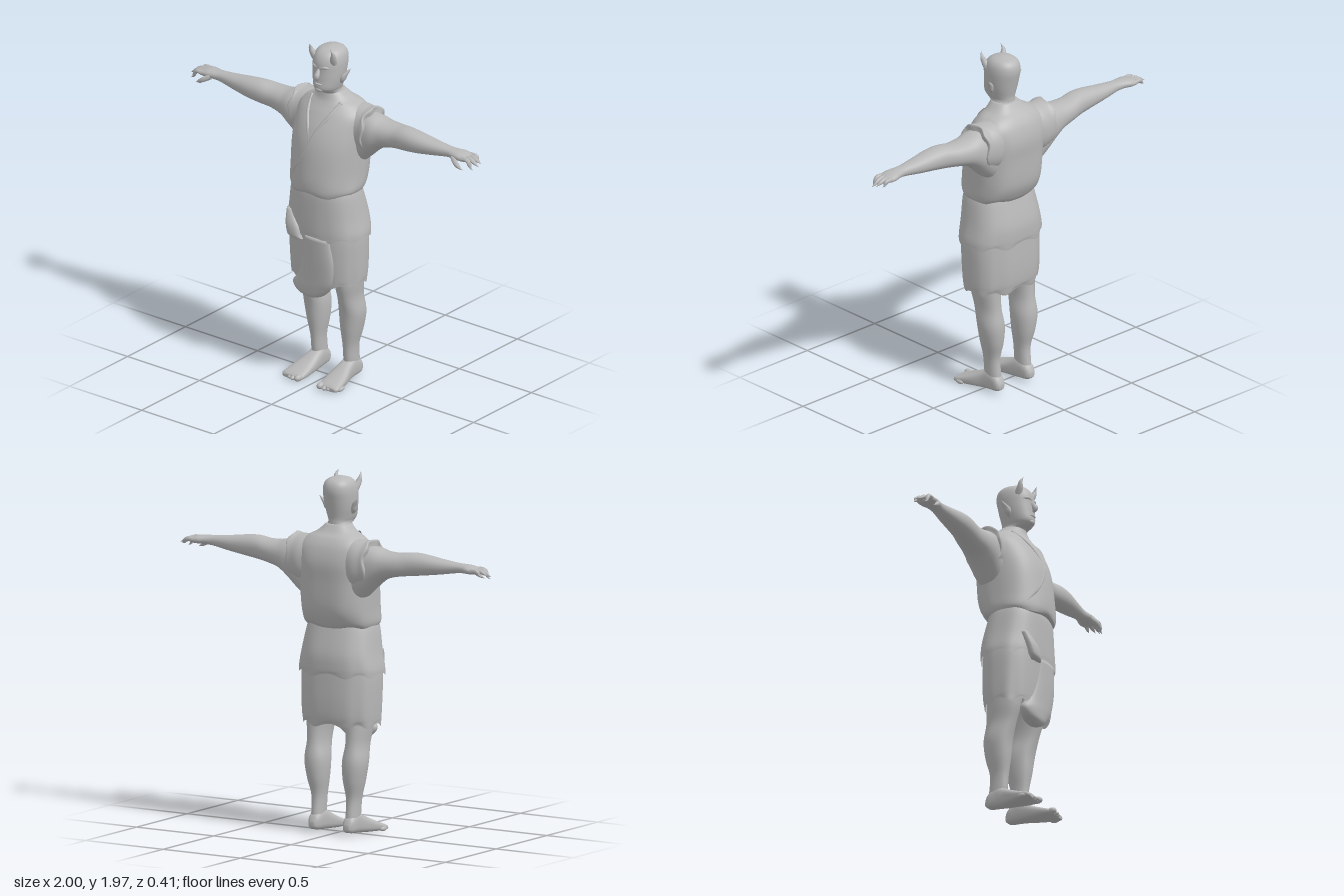
import * as THREE from 'three';

// Catmull-Rom sample of a table of rows at u in 0..1
function sample(rows, u) {
  const f = u * (rows.length - 1), i = Math.min(Math.floor(f), rows.length - 2), t = f - i;
  const r = k => rows[Math.max(0, Math.min(rows.length - 1, k))];
  return rows[i].map((b, k) => {
    const a = r(i - 1)[k], c = r(i + 1)[k], d = r(i + 2)[k];
    return b + 0.5 * t * (c - a + t * (2 * a - 5 * b + 4 * c - d + t * (3 * (b - c) + d - a)));
  });
}

function flip(g) {
  const ix = g.index.array;
  for (let i = 0; i < ix.length; i += 3) [ix[i], ix[i + 1]] = [ix[i + 1], ix[i]];
  g.computeVertexNormals();
  return g;
}
const mirrored = g => flip(g.clone().scale(-1, 1, 1));

// Skin over superellipse sections. Row: [t, aMin, aMax, bMin, bMax].
// axis y: a = x, b = z; axis x: a = y, b = z; axis z: a = x, b = y.
function loft(axis, rows, { n = 32, steps = 5, front = 2.2, back = 2.2, open = false, warp } = {}) {
  const place = { x: (t, a, b) => [t, a, b], y: (t, a, b) => [a, t, b], z: (t, a, b) => [a, b, t] }[axis];
  const pos = [], idx = [], m = (rows.length - 1) * steps;
  const pw = (v, e) => Math.sign(v) * Math.pow(Math.abs(v), 2 / e);
  for (let j = 0; j <= m; j++) {
    const [t, a0, a1, b0, b1] = sample(rows, j / m);
    for (let i = 0; i < n; i++) {
      const th = i / n * Math.PI * 2, e = Math.sin(th) > 0 ? front : back;
      const w = warp ? warp(th, j / m) : [1, 0];
      pos.push(...place(t + w[1], (a0 + a1) / 2 + (a1 - a0) / 2 * w[0] * pw(Math.cos(th), e),
        (b0 + b1) / 2 + (b1 - b0) / 2 * w[0] * pw(Math.sin(th), e)));
    }
  }
  for (let j = 0; j < m; j++) for (let i = 0; i < n; i++) {
    const a = j * n + i, b = j * n + (i + 1) % n;
    idx.push(a, b, b + n, a, b + n, a + n);
  }
  if (!open) for (const j of [0, m]) {
    const r = j ? rows[rows.length - 1] : rows[0], c = pos.length / 3;
    pos.push(...place(r[0], (r[1] + r[2]) / 2, (r[3] + r[4]) / 2));
    for (let i = 0; i < n; i++) {
      const a = j * n + i, b = j * n + (i + 1) % n;
      idx.push(...(j ? [a, b, c] : [b, a, c]));
    }
  }
  const g = new THREE.BufferGeometry();
  g.setAttribute('position', new THREE.Float32BufferAttribute(pos, 3));
  g.setIndex(idx);
  g.computeVertexNormals();
  const up = rows[rows.length - 1][0] > rows[0][0];
  return (axis === 'y') === up ? flip(g) : g;
}

// Tube through points with a radius for each point
function taper(points, radii, n = 10, seg = 14) {
  const curve = new THREE.CatmullRomCurve3(points.map(p => new THREE.Vector3(...p)));
  const g = new THREE.TubeGeometry(curve, seg, 1, n), p = g.attributes.position, v = new THREE.Vector3();
  for (let j = 0; j <= seg; j++) {
    const c = curve.getPointAt(j / seg), r = sample(radii.map(x => [x]), j / seg)[0];
    for (let i = 0; i <= n; i++) {
      const k = j * (n + 1) + i;
      v.fromBufferAttribute(p, k).sub(c).multiplyScalar(r).add(c);
      p.setXYZ(k, v.x, v.y, v.z);
    }
  }
  g.computeVertexNormals();
  return g;
}

export function createModel() {
  const group = new THREE.Group();
  const clay = new THREE.MeshStandardMaterial({ color: 0xb8b8b8, side: THREE.DoubleSide });
  clay.name = 'grey clay';
  const add = (name, g) => {
    const m = new THREE.Mesh(g, clay);
    m.name = name;
    group.add(m);
  };
  const pair = (name, g) => { add(name + 'Left', g); add(name + 'Right', mirrored(g)); };
  const ball = (x, y, z, sx, sy, sz) => new THREE.SphereGeometry(1, 16, 12).scale(sx, sy, sz).translate(x, y, z);

  // Tunic body
  const tunic = [
    [1.14, -0.195, 0.195, -0.125, 0.195], [1.17, -0.207, 0.207, -0.155, 0.204], [1.25, -0.208, 0.208, -0.188, 0.203],
    [1.4, -0.213, 0.213, -0.198, 0.185], [1.5, -0.215, 0.215, -0.203, 0.153], [1.58, -0.21, 0.21, -0.185, 0.108],
    [1.63, -0.165, 0.165, -0.155, 0.072], [1.66, -0.11, 0.11, -0.12, 0.055], [1.7, -0.067, 0.067, -0.088, 0.045]];
  add('tunic', loft('y', tunic, {
    n: 64, front: 2.05, back: 2.8,
    warp: (th, u) => [1 + 0.012 * Math.sin(th * 7 + u * 9) * Math.max(0, 1 - u * 1.3), 0.008 * Math.sin(th * 5) * Math.max(0, 1 - u * 8)]
  }));

  // Ragged armhole edges
  pair('armhole', loft('x', [
    [0.1, 1.36, 1.635, -0.17, 0.03], [0.17, 1.36, 1.632, -0.185, 0.04], [0.22, 1.37, 1.63, -0.18, 0.042],
    [0.25, 1.38, 1.636, -0.178, 0.045], [0.252, 1.4, 1.615, -0.16, 0.025]],
  { n: 40, warp: (th, u) => [1, u > 0.6 ? 0.008 * Math.sin(th * 6) : 0] }));

  // Folded collar edges lying on the chest
  const frontZ = (x, y) => {
    const i = Math.max(0, tunic.findIndex(r => r[0] > y) - 1), a = tunic[i], b = tunic[i + 1];
    const r = a.map((v, k) => v + (b[k] - v) * (y - a[0]) / (b[0] - a[0]));
    return (r[3] + r[4]) / 2 + (r[4] - r[3]) / 2 * Math.sqrt(Math.max(0, 1 - (x / r[2]) ** 2));
  };
  const onChest = pts => pts.map(([x, y]) => [x, y, frontZ(x, y) - 0.002]);
  add('collarRight', taper(onChest([[-0.1, 1.65], [-0.075, 1.59], [-0.04, 1.52], [-0.005, 1.44]]), [0.01, 0.011, 0.01, 0.006], 8, 20));
  add('collarLeft', taper(onChest([[0.1, 1.65], [0.075, 1.59], [0.035, 1.52], [0, 1.44], [-0.05, 1.34], [-0.1, 1.26], [-0.15, 1.19]]),
    [0.01, 0.011, 0.01, 0.009, 0.008, 0.008, 0.004], 8, 36));

  // Skirt in two layers with folds and a ragged hem
  const folds = (amp, hem) => (th, u) => [
    1 + amp * u * (Math.sin(th * 9 + 1) + 0.6 * Math.sin(th * 14)), u > 0.85 ? hem * Math.sin(th * 8 + 2) : 0];
  add('skirtUpper', loft('y', [
    [1.17, -0.19, 0.19, -0.12, 0.165], [1.12, -0.205, 0.205, -0.135, 0.175], [1.0, -0.225, 0.225, -0.165, 0.178],
    [0.92, -0.241, 0.241, -0.168, 0.178], [0.88, -0.243, 0.243, -0.163, 0.176]],
  { n: 72, open: true, front: 2.4, back: 2.4, warp: folds(0.007, 0.012) }));
  add('skirtLower', loft('y', [
    [1.0, -0.215, 0.215, -0.15, 0.165], [0.88, -0.23, 0.23, -0.155, 0.168], [0.75, -0.229, 0.229, -0.158, 0.163],
    [0.65, -0.225, 0.225, -0.153, 0.155], [0.6, -0.22, 0.22, -0.14, 0.148]],
  { n: 72, open: true, front: 2.4, back: 2.4, warp: folds(0.012, 0.012) }));

  // Hanging front cloth and side flap
  add('frontCloth', loft('y', [
    [0.505, -0.06, 0.01, 0.09, 0.14], [0.525, -0.12, 0.055, 0.075, 0.16], [0.57, -0.15, 0.1, 0.07, 0.167],
    [0.63, -0.11, 0.13, 0.08, 0.17], [0.75, -0.07, 0.14, 0.1, 0.176], [0.88, -0.05, 0.12, 0.12, 0.178]]));
  add('sideFlap', loft('y', [
    [0.85, -0.13, -0.05, 0.15, 0.185], [0.87, -0.15, -0.06, 0.145, 0.195], [0.93, -0.168, -0.08, 0.13, 0.188],
    [1.0, -0.18, -0.14, 0.11, 0.155]], { n: 20, front: 2.6 }));

  // Head and neck
  add('head', loft('y', [
    [1.64, -0.075, 0.075, -0.1, 0.045], [1.69, -0.066, 0.066, -0.086, 0.045], [1.712, -0.062, 0.062, -0.084, 0.082],
    [1.735, -0.07, 0.07, -0.085, 0.102], [1.78, -0.081, 0.081, -0.095, 0.1], [1.83, -0.087, 0.087, -0.106, 0.097],
    [1.88, -0.088, 0.088, -0.115, 0.095], [1.92, -0.079, 0.079, -0.108, 0.078], [1.945, -0.056, 0.056, -0.082, 0.046],
    [1.957, -0.012, 0.012, -0.03, 0.0]], { n: 40, front: 2.1 }));
  add('nose', taper([[0, 1.855, 0.088], [0, 1.825, 0.104], [0, 1.805, 0.112], [0, 1.788, 0.098]], [0.006, 0.012, 0.016, 0.008]));
  add('mouth', ball(0, 1.762, 0.096, 0.026, 0.007, 0.012));
  add('chin', ball(0, 1.728, 0.088, 0.026, 0.016, 0.018));
  pair('brow', taper([[0.01, 1.856, 0.093], [0.035, 1.862, 0.086], [0.065, 1.852, 0.058]], [0.006, 0.01, 0.004]));

  // Pointed ears
  const ear = loft('y', [
    [1.755, 0.072, 0.082, -0.015, 0.0], [1.775, 0.072, 0.1, -0.028, 0.01], [1.8, 0.078, 0.108, -0.034, 0.008],
    [1.82, 0.092, 0.116, -0.036, -0.01], [1.84, 0.119, 0.122, -0.034, -0.03]], { n: 14 });
  pair('ear', ear);

  // Small curved horns
  pair('horn', taper([[0.06, 1.885, 0.04], [0.072, 1.92, 0.058], [0.078, 1.945, 0.066], [0.072, 1.973, 0.08]], [0.022, 0.018, 0.011, 0.001], 12));

  // Outstretched arms with palms
  pair('arm', loft('x', [
    [0.14, 1.27, 1.6, -0.155, 0.03], [0.21, 1.32, 1.605, -0.165, 0.032], [0.28, 1.385, 1.598, -0.163, 0.033],
    [0.34, 1.428, 1.583, -0.155, 0.02], [0.42, 1.45, 1.58, -0.143, 0.01], [0.5, 1.46, 1.588, -0.125, 0.015],
    [0.58, 1.47, 1.583, -0.115, 0.014], [0.68, 1.485, 1.57, -0.105, 0.0], [0.78, 1.502, 1.56, -0.093, -0.016],
    [0.83, 1.507, 1.557, -0.098, -0.012], [0.87, 1.507, 1.555, -0.11, -0.007], [0.91, 1.51, 1.546, -0.11, -0.01],
    [0.925, 1.52, 1.538, -0.1, -0.02]], { n: 28 }));

  // Fingers and thumb
  [[-0.097, 0.968, 1.505], [-0.073, 0.993, 1.508], [-0.047, 0.999, 1.5], [-0.022, 0.978, 1.485]].forEach(([z, x, y], i) =>
    pair('finger' + (i + 1), taper([[0.895, 1.53, z], [0.94, 1.53, z], [x - 0.015, y + 0.007, z], [x, y, z]], [0.014, 0.013, 0.011, 0.001], 8)));
  pair('thumb', taper([[0.84, 1.525, -0.02], [0.875, 1.505, 0.0], [0.905, 1.487, 0.004], [0.925, 1.478, 0.002]], [0.016, 0.015, 0.012, 0.001], 8));

  // Legs
  pair('leg', loft('y', [
    [0.03, 0.08, 0.142, -0.112, -0.03], [0.1, 0.077, 0.145, -0.108, -0.002], [0.2, 0.074, 0.15, -0.1, 0.006],
    [0.3, 0.06, 0.173, -0.122, 0.02], [0.4, 0.055, 0.188, -0.13, 0.032], [0.5, 0.068, 0.18, -0.115, 0.058],
    [0.6, 0.058, 0.19, -0.11, 0.085], [0.75, 0.025, 0.2, -0.11, 0.1]], { n: 28 }));

  // Bare feet and toes
  pair('foot', loft('z', [
    [-0.127, 0.095, 0.128, 0.03, 0.06], [-0.105, 0.078, 0.145, 0.016, 0.1], [-0.05, 0.07, 0.15, 0.01, 0.13],
    [0.0, 0.064, 0.157, 0.006, 0.11], [0.06, 0.058, 0.175, 0.002, 0.08], [0.12, 0.055, 0.188, 0, 0.054],
    [0.165, 0.06, 0.192, 0, 0.036], [0.18, 0.075, 0.18, 0.004, 0.025]], { n: 24, front: 2.4, back: 3.2 }));
  for (let i = 0; i < 5; i++) {
    const r = i ? 0.0135 : 0.019;
    pair('toe' + (i + 1), ball(0.078 + i * 0.025 + (i ? 0.006 : 0), r, 0.172 - i * i * 0.0025, r, r, 0.028));
  }
  return group;
}
